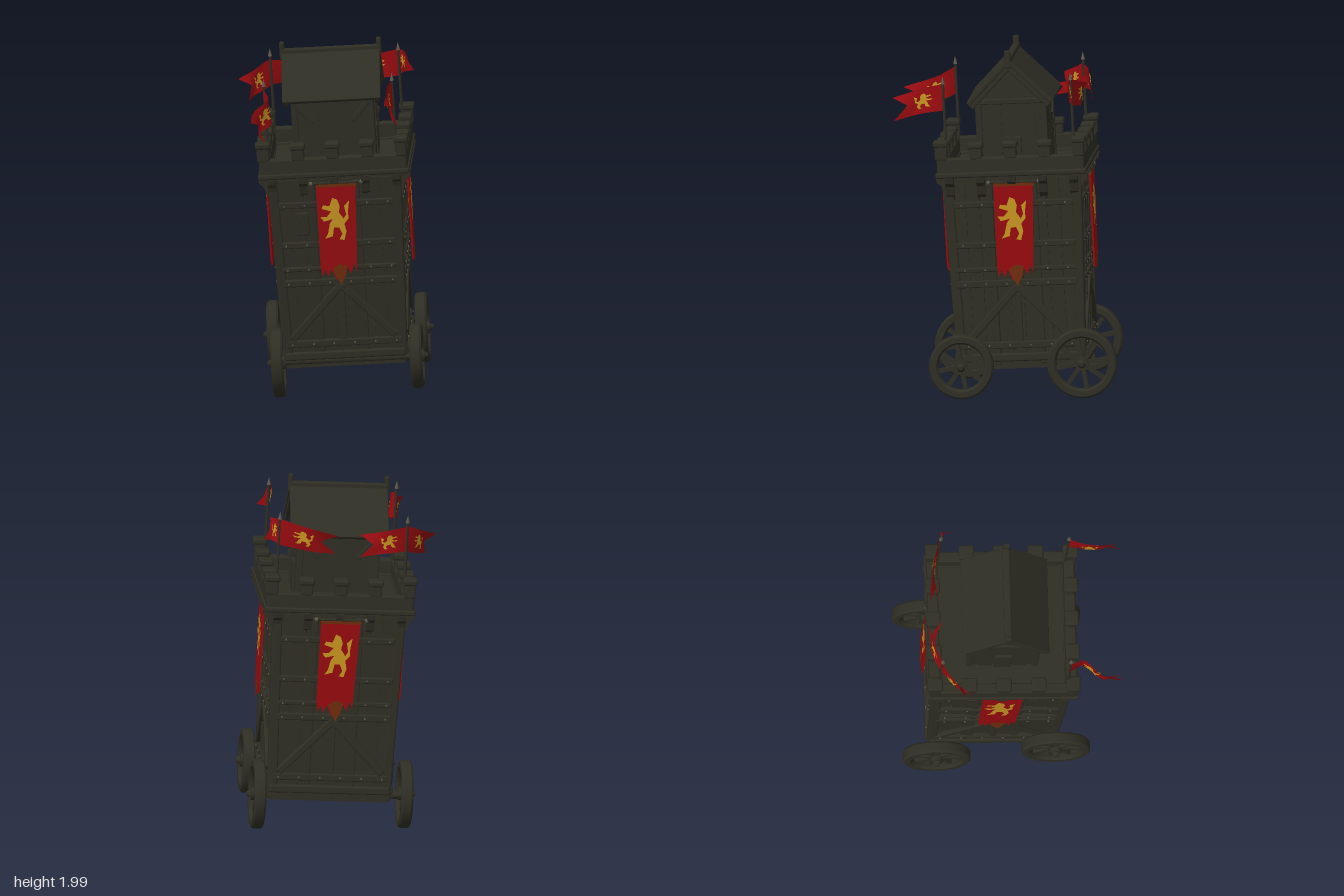
import * as THREE from 'three';
import { toCreasedNormals } from 'three/addons/utils/BufferGeometryUtils.js';
import { RoundedBoxGeometry } from 'three/addons/geometries/RoundedBoxGeometry.js';

const mat = (name, color, side = THREE.FrontSide) => {
  const m = new THREE.MeshStandardMaterial({ color, side });
  m.name = name;
  return m;
};
const wood = mat('dark timber', 0x2f2e24);
const metal = mat('dull iron', 0x5e584a);
const red = mat('red cloth', 0x940b0f, THREE.DoubleSide);
const gold = mat('gold emblem', 0xc4921f, THREE.DoubleSide);
const rust = mat('rust cloth', 0x6c2c0e, THREE.DoubleSide);

function add(parent, name, geo, material, x = 0, y = 0, z = 0, rx = 0, ry = 0, rz = 0) {
  const m = new THREE.Mesh(geo, material);
  m.name = name;
  m.position.set(x, y, z);
  m.rotation.set(rx, ry, rz);
  parent.add(m);
  return m;
}
function group(parent, name) {
  const g = new THREE.Group();
  g.name = name;
  parent.add(g);
  return g;
}
const box = (w, h, d) => new THREE.BoxGeometry(w, h, d);
const soft = (w, h, d, r = 0.01) => new RoundedBoxGeometry(w, h, d, 2, r);
const cyl = (r1, r2, h, n = 10) => new THREE.CylinderGeometry(r1, r2, h, n);
const polygon = pts => new THREE.Shape(pts.map(p => new THREE.Vector2(p[0], p[1])));
const slab = (pts, depth) => new THREE.ExtrudeGeometry(polygon(pts), { depth, bevelEnabled: false });

// Rearing beast outline inside a unit square
const beast = new THREE.ShapeGeometry(polygon([
  [-.1, .5], [.05, .45], [.12, .3], [.08, .15], [.22, 0], [.3, .1], [.25, .3], [.42, .42], [.36, .15], [.37, 0],
  [.23, -.12], [.28, -.3], [.2, -.5], [.05, -.48], [.15, -.35], [.06, -.2], [-.1, -.2], [-.15, -.4], [-.4, -.45],
  [-.3, -.34], [-.22, -.1], [-.12, 0], [-.4, -.05], [-.5, .06], [-.3, .06], [-.16, .18], [-.45, .25], [-.4, .33], [-.2, .31]]));

// Bend flat geometry onto a twisting ribbon that follows a path
function onRibbon(geo, curve, height, offset, toUV) {
  const p = geo.attributes.position, up = new THREE.Vector3(0, 1, 0);
  for (let i = 0; i < p.count; i++) {
    const [u, v] = toUV(p.getX(i), p.getY(i));
    const t = Math.min(Math.max(u, 0), 1);
    const n = curve.getTangentAt(t).cross(up).normalize();
    const q = curve.getPointAt(t).addScaledVector(n, offset + t * (0.012 * Math.sin(6 * t + 2 * v) + 0.025 * v));
    p.setXYZ(i, q.x, q.y + v * height * (1 - 0.2 * t), q.z);
  }
  geo.computeVertexNormals();
  return geo;
}
function makeFlag(parent, pts, height) {
  const g = group(parent, 'flag');
  const curve = new THREE.CatmullRomCurve3(pts.map(p => new THREE.Vector3(...p)));
  // swallowtail end
  const tail = (x, y) => {
    const u = x + 0.5, v = y * 2;
    return [u * (1 - 0.28 * u * (1 - Math.abs(v))), v];
  };
  add(g, 'flagCloth', onRibbon(new THREE.PlaneGeometry(1, 1, 16, 6), curve, height, 0, tail), red);
  for (const s of [-1, 1])
    add(g, 'flagEmblem', onRibbon(beast.clone(), curve, height, s * 0.005, (x, y) => [0.42 + 0.4 * x, y * 1.2]), gold);
}

// Spoked wheel with its axle along x
function makeWheel(parent, x, y, z, r, side) {
  const g = group(parent, 'wheel');
  g.position.set(x, y, z);
  g.rotation.z = 0.06;
  const pts = [[r - .05, -.02], [r - .04, -.033], [r - .01, -.033], [r, -.022], [r, .022], [r - .01, .033],
    [r - .04, .033], [r - .05, .02], [r - .05, -.02]].map(p => new THREE.Vector2(p[0], p[1]));
  add(g, 'wheelRim', toCreasedNormals(new THREE.LatheGeometry(pts, 32), 0.6), wood, 0, 0, 0, 0, 0, Math.PI / 2);
  for (let i = 0; i < 4; i++) add(g, 'spoke', box(0.024, 2 * r - 0.07, 0.024), wood, 0, 0, 0, i * Math.PI / 4 + 0.2);
  add(g, 'hub', cyl(0.036, 0.036, 0.075, 14), wood, 0, 0, 0, 0, 0, Math.PI / 2);
  add(g, 'hubCap', cyl(0.012, 0.026, 0.025, 12), wood, side * 0.048, 0, 0, 0, 0, -side * Math.PI / 2);
}

// Ragged hanging banner on a rod
function makeBanner(parent, dist) {
  const g = group(parent, 'banner');
  g.position.set(0.01, 0, dist);
  add(g, 'bannerCloth', slab([[-.113, 1.055], [-.115, .6], [-.107, .53], [-.09, .57], [-.075, .53], [-.055, .57], [-.03, .51],
    [0, .57], [.02, .52], [.035, .58], [.055, .54], [.072, .6], [.085, .55], [.09, .6], [.108, 1.055]], 0.009), red, 0, 0, -0.0045);
  add(g, 'bannerTail', new THREE.ShapeGeometry(polygon([[-.05, .575], [-.01, .6], [.035, .59], [.02, .53], [-.005, .48], [-.03, .53]])), rust, 0, 0, 0.007);
  add(g, 'bannerHem', box(0.225, 0.018, 0.012), rust, 0, 1.052, 0);
  add(g, 'bannerRod', cyl(0.008, 0.008, 0.28, 8), wood, 0, 1.065, 0, 0, 0, Math.PI / 2);
  for (const s of [-1, 1]) {
    add(g, 'rodKnob', new THREE.SphereGeometry(0.012, 8, 6), metal, s * 0.14, 1.065, 0);
    add(g, 'rodBracket', box(0.012, 0.012, 0.06), wood, s * 0.12, 1.065, -0.025);
  }
  for (const z of [-0.008, 0.008]) {
    const e = add(g, 'bannerEmblem', beast, gold, -0.008, 0.86, z);
    e.scale.set(0.18, 0.245, 1);
  }
}

// One timber wall: planks, rails, posts, braces and nails
function makeWall(parent, index, dist, halfWidth) {
  const g = group(parent, 'wall');
  g.position.z = dist;
  g.rotation.x = 0.028;
  const step = halfWidth * 2 / 9;
  for (let i = 0; i < 9; i++)
    add(g, 'plank', box(step - 0.005, 1.06, 0.02), wood, (i - 4) * step, 0.55, (i % 3) * 0.004 - 0.006);
  for (const x of [-0.13, 0.12]) add(g, 'wallPost', soft(0.035, 1.04, 0.03, 0.006), wood, x, 0.55, 0.004);
  for (const [y, h] of [[0.14, 0.04], [0.49, 0.04], [0.57, 0.025], [0.71, 0.035], [0.94, 0.035]]) {
    add(g, 'rail', soft(halfWidth * 2, h, 0.035, 0.007), wood, 0, y, 0.008);
    for (let i = 0; i < 6; i++) add(g, 'nail', box(0.008, 0.008, 0.006), metal, -0.29 + i * 0.116, y, 0.027);
  }
  for (const s of [-1, 1])
    add(g, 'brace', soft(0.04, 0.42, 0.035, 0.007), wood, s * 0.145, 0.32, 0.012, 0, 0, s * 0.76);
  add(g, 'kingPost', soft(0.035, 0.35, 0.03, 0.006), wood, 0, 0.32, 0.006);
  if (index === 0) {
    add(g, 'shutterFrame', soft(0.07, 0.13, 0.03, 0.006), wood, -0.19, 0.83, 0.008);
    add(g, 'shutter', box(0.042, 0.1, 0.012), wood, -0.19, 0.83, 0.022);
  }
}

// One side of the battlements with corbels below
const corbelGeo = slab([[-.33, 1.1], [-.425, 1.1], [-.42, 1.07], [-.395, 1.05], [-.38, 1.0], [-.33, .95]], 0.045).rotateY(Math.PI / 2);
function makeParapet(parent) {
  const g = group(parent, 'parapet');
  add(g, 'parapetWall', soft(0.82, 0.11, 0.06), wood, 0, 1.155, 0.382);
  add(g, 'parapetRail', soft(0.845, 0.03, 0.075), wood, 0, 1.115, 0.384);
  for (let i = 0; i < 5; i++) {
    const x = (i - 2) * 0.193;
    if (i < 4) {
      const h = i === 0 ? 0.105 : 0.09;
      add(g, 'merlon', soft(0.07, h, 0.06), wood, x, 1.2 + h / 2, 0.384);
      add(g, 'merlonCap', soft(0.085, 0.035, 0.078, 0.012), wood, x, 1.2 + h - 0.012, 0.385);
    }
    add(g, 'corbel', corbelGeo, wood, x * 0.9 - 0.0225);
  }
}

// Gabled lookout hut on the deck
function makeHut(parent) {
  const g = group(parent, 'hut');
  g.position.set(0.004, -0.005, 0);
  const gable = [[-.185, 1.08], [.185, 1.08], [.185, 1.5], [0, 1.72], [-.185, 1.5]];
  add(g, 'hutWalls', slab(gable, 0.44).rotateY(Math.PI / 2), wood, -0.22);
  for (const s of [-1, 1]) {
    add(g, 'roofSlab', soft(0.55, 0.025, 0.34, 0.006), wood, 0, 1.615, s * 0.115, s * Math.PI / 4);
    for (let i = 0; i < 6; i++) add(g, 'hutPlank', box(0.068, 0.4, 0.014), wood, (i - 2.5) * 0.074, 1.29, s * 0.186);
    for (const e of [-1, 1]) {
      add(g, 'hutPost', soft(0.035, 0.42, 0.035, 0.006), wood, e * 0.213, 1.29, s * 0.182);
      add(g, 'rafter', soft(0.025, 0.04, 0.325, 0.006), wood, e * 0.255, 1.594, s * 0.108, s * Math.PI / 4);
      add(g, 'gablePlank', box(0.014, 0.42, 0.075), wood, e * 0.22, 1.29, s * 0.095);
      add(g, 'hutBrace', soft(0.03, 0.16, 0.02, 0.005), wood, e * 0.16, 1.43, s * 0.194, 0, 0, -e * 0.7);
    }
  }
  add(g, 'ridgeBeam', soft(0.55, 0.035, 0.04), wood, 0, 1.735, 0);
  for (const e of [-1, 1]) {
    add(g, 'ridgePost', soft(0.028, 0.1, 0.034, 0.008), wood, e * 0.27, 1.742, 0);
    add(g, 'gableTie', soft(0.025, 0.03, 0.37, 0.006), wood, e * 0.228, 1.5, 0);
    add(g, 'hutDoor', soft(0.02, 0.2, 0.1, 0.005), wood, e * 0.225, 1.2, 0);
  }
}

export function createModel() {
  const root = new THREE.Group();
  root.name = 'siegeTower';
  const tower = group(root, 'tower');
  tower.position.set(0.069, 0.2, -0.105);
  tower.rotation.set(0.056, 0, 0.06);

  // Tapered core, deck and base
  const core = cyl(0.342 * Math.SQRT2, 0.313 * Math.SQRT2, 1.06, 4).rotateY(Math.PI / 4).scale(1, 1, 1.05);
  add(tower, 'core', toCreasedNormals(core, 0.3), wood, 0, 0.55, 0);
  add(tower, 'deck', box(0.78, 0.03, 0.78), wood, 0, 1.1, 0);
  add(tower, 'basePlatform', box(0.66, 0.06, 0.72), wood, 0, 0.035, 0);

  for (let k = 0; k < 4; k++) {
    const side = group(tower, 'towerSide');
    side.rotation.y = k * Math.PI / 2;
    const [dist, across] = k % 2 ? [0.321, 0.337] : [0.337, 0.321];
    makeWall(side, k, dist, across);
    makeParapet(side);
    makeBanner(side, dist + 0.073);
    add(side, 'baseBeam', soft(across * 2 + 0.03, 0.045, 0.055), wood, 0, 0.07, dist + 0.008);
    add(side, 'cornerPost', soft(0.055, 1.08, 0.055), wood, across + 0.01, 0.55, dist + 0.01, 0.028, 0, -0.028);
    add(side, 'flagpole', cyl(0.007, 0.009, 0.52, 8), wood, 0.355, 1.37, 0.36);
    add(side, 'poleTip', new THREE.ConeGeometry(0.012, 0.045, 8), metal, 0.355, 1.645, 0.36);
  }
  makeHut(tower);

  // Flags streaming from the corner poles
  makeFlag(tower, [[-.36, 1.53, -.36], [-.43, 1.5, -.3], [-.505, 1.47, -.21]], 0.075);
  makeFlag(tower, [[-.36, 1.53, -.36], [-.24, 1.52, -.405], [-.09, 1.49, -.395]], 0.07);
  makeFlag(tower, [[.355, 1.55, -.36], [.2, 1.52, -.395], [.035, 1.49, -.38]], 0.075);
  makeFlag(tower, [[.355, 1.55, -.36], [.385, 1.56, -.35], [.425, 1.56, -.325]], 0.07);
  makeFlag(tower, [[-.365, 1.53, .36], [-.33, 1.5, .43], [-.4, 1.46, .54], [-.39, 1.43, .655]], 0.075);
  makeFlag(tower, [[.355, 1.55, .36], [.335, 1.53, .48], [.355, 1.49, .645]], 0.075);

  // Wheels: x, y, z, radius, outer side
  for (const w of [[0.462, 0.24, 0.23, 0.18, 1], [0.465, 0.275, -0.445, 0.195, 1],
    [-0.31, 0.197, 0.252, 0.192, -1], [-0.36, 0.235, -0.412, 0.19, -1]]) makeWheel(root, ...w);
  add(root, 'frontAxle', cyl(0.022, 0.022, 0.76, 10), wood, 0.075, 0.219, 0.24, 0, 0, Math.PI / 2 + 0.055);
  add(root, 'rearAxle', cyl(0.022, 0.022, 0.82, 10), wood, 0.05, 0.255, -0.43, 0, 0, Math.PI / 2 + 0.05);
  return root;
}
